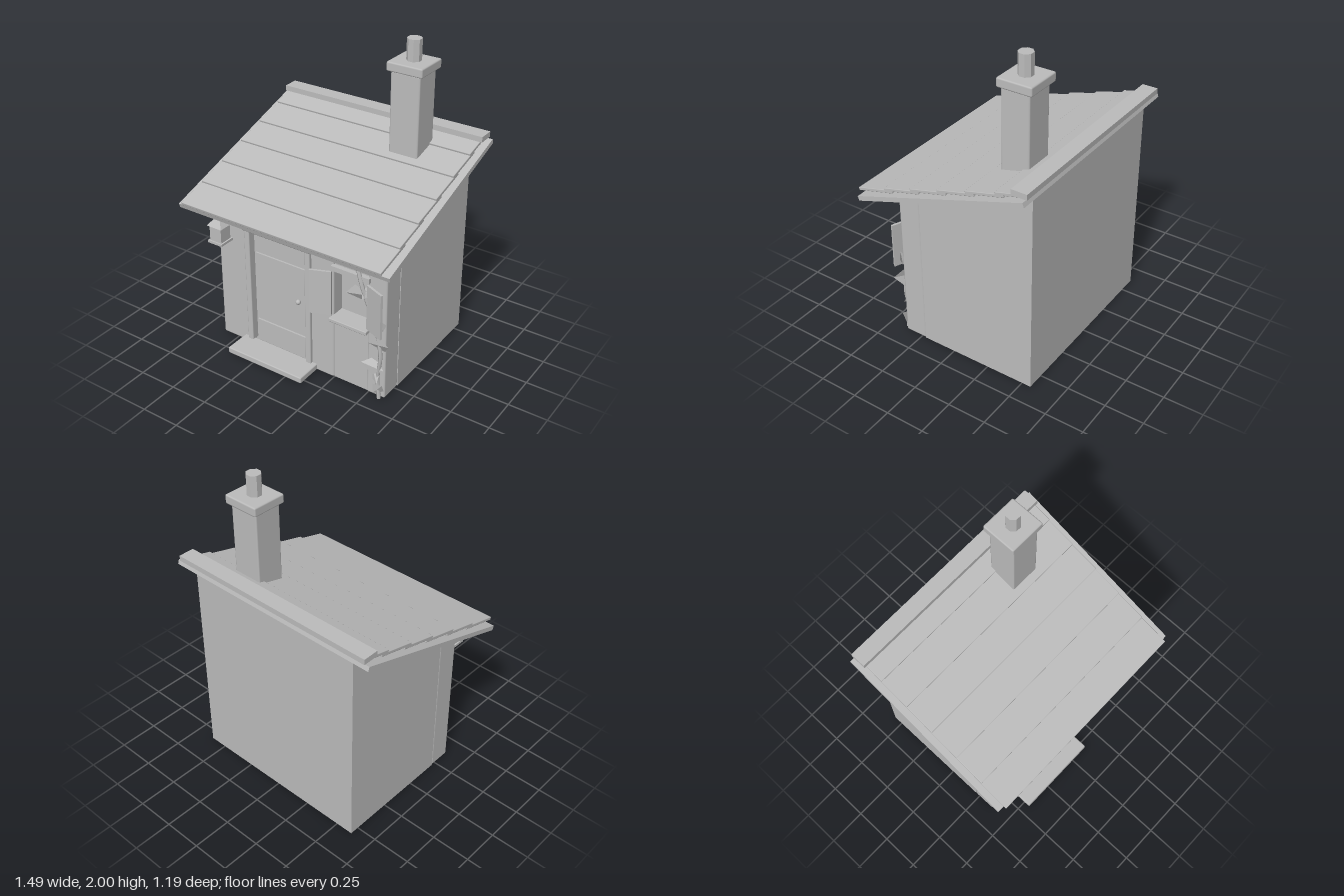
import * as THREE from 'three';
import { RoundedBoxGeometry } from 'three/addons/geometries/RoundedBoxGeometry.js';

const stone = new THREE.MeshStandardMaterial({ color: 0xbcbcbc });
stone.name = 'plain grey';
const leafGrey = stone.clone();
leafGrey.name = 'plain grey leaf';
leafGrey.side = THREE.DoubleSide;

export function createModel() {
  const model = new THREE.Group();

  const add = (name, geometry, x = 0, y = 0, z = 0, material = stone) => {
    const mesh = new THREE.Mesh(geometry, material);
    mesh.name = name;
    mesh.position.set(x, y, z);
    model.add(mesh);
    return mesh;
  };
  // Box given by its limits on each axis, with an optional softened edge
  const block = (name, x0, x1, y0, y1, z0, z1, r = 0) => {
    const s = [x1 - x0, y1 - y0, z1 - z0];
    const g = r ? new RoundedBoxGeometry(...s, 1, r) : new THREE.BoxGeometry(...s);
    return add(name, g, (x0 + x1) / 2, (y0 + y1) / 2, (z0 + z1) / 2);
  };

  // Hollow body: two sloping side walls and a back wall, open underneath
  const side = new THREE.Shape([[-0.22, 0], [0.56, 0], [0.56, 1.345], [-0.22, 1.04]]
    .map(([a, b]) => new THREE.Vector2(a, b)));
  const sideGeometry = new THREE.ExtrudeGeometry(side, { depth: 0.08, bevelEnabled: false });
  sideGeometry.rotateY(Math.PI / 2);
  add('leftWall', sideGeometry, 0.535);
  add('rightWall', sideGeometry, -0.615);
  block('backWall', -0.535, 0.535, 0, 1.345, -0.56, -0.48);

  // Front wall, made of panels around the door and the window
  block('frontPanelRight', -0.615, -0.385, 0, 1.03, 0.22, 0.37, 0.01);
  block('frontPanelMiddle', 0.055, 0.25, 0, 1.03, 0.22, 0.37, 0.01);
  block('frontPanelLeft', 0.49, 0.615, 0, 1.03, 0.22, 0.37, 0.01);
  block('panelAboveDoor', -0.385, 0.055, 0.84, 1.03, 0.22, 0.36);
  block('panelBelowWindow', 0.25, 0.49, 0, 0.45, 0.22, 0.36);
  block('panelAboveWindow', 0.25, 0.49, 0.79, 1.03, 0.22, 0.36);

  // Door
  block('door', -0.385, 0.055, 0.02, 0.85, 0.29, 0.34);
  for (const y of [0.175, 0.667]) block('doorBatten', -0.345, 0.025, y - 0.016, y + 0.016, 0.34, 0.352);
  add('doorKnob', new THREE.SphereGeometry(0.017, 10, 8), -0.023, 0.44, 0.355);
  for (const x of [-0.38, 0.07]) block('doorJamb', x - 0.02, x + 0.02, 0.04, 0.85, 0.29, 0.39, 0.006);
  block('doorLintel', -0.415, 0.1, 0.84, 0.91, 0.29, 0.4, 0.01);
  block('doorstep', -0.44, 0.125, 0.003, 0.045, 0.36, 0.545, 0.008);

  // Window with sill, lintel and half-open shutters
  block('windowPane', 0.25, 0.49, 0.44, 0.8, 0.27, 0.285);
  block('windowSill', 0.24, 0.505, 0.437, 0.462, 0.27, 0.415, 0.005);
  block('windowLintel', 0.24, 0.505, 0.78, 0.812, 0.27, 0.39);
  for (const s of [-1, 1]) {
    const shutter = add('shutter', new THREE.BoxGeometry(0.135, 0.3, 0.015), 0.37 + s * 0.188, 0.62, 0.411);
    shutter.rotation.y = -s * 0.38;
  }

  // Roof deck
  const pitch = Math.atan(0.3276);
  add('roofDeck', new THREE.BoxGeometry(1.49, 0.03, 1.21), 0, 1.172, -0.01).rotation.x = pitch;

  // Overlapping roof planks, each tilted flatter than the deck
  const tilt = 0.255;
  for (let i = 0; i < 6; i++) {
    const length = i === 5 ? 0.215 : 0.26;
    const g = new RoundedBoxGeometry(1.41, 0.02, length, 1, 0.004);
    g.translate(0, 0, -length / 2);
    add('roofPlank', g, 0, 1.02 + 0.0635 * i, 0.592 - 0.1935 * i).rotation.x = tilt;
  }
  block('ridgeBoard', -0.72, 0.72, 1.38, 1.415, -0.592, -0.49);

  // Chimney
  block('chimneyStack', 0.235, 0.432, 1.2, 1.81, -0.415, -0.23, 0.01);
  block('chimneyCap', 0.213, 0.453, 1.808, 1.867, -0.44, -0.212, 0.01);
  const pot = new THREE.CylinderGeometry(0.046, 0.046, 0.14, 8).toNonIndexed();
  pot.rotateY(Math.PI / 8);
  pot.computeVertexNormals();
  add('chimneyPot', pot, 0.333, 1.93, -0.325);

  // Lantern hanging beside the door
  block('lanternArm', -0.505, -0.48, 0.937, 0.957, 0.37, 0.5);
  block('lanternBody', -0.537, -0.451, 0.8, 0.905, 0.455, 0.54);
  block('lanternBase', -0.547, -0.441, 0.784, 0.8, 0.445, 0.55);
  const hood = new THREE.ConeGeometry(0.077, 0.07, 4).toNonIndexed();
  hood.rotateY(Math.PI / 4);
  hood.computeVertexNormals();
  add('lanternHood', hood, -0.494, 0.935, 0.497);

  // Climbing vine
  const stem = new THREE.CatmullRomCurve3([
    [0.585, 0, 0.385], [0.57, 0.14, 0.38], [0.59, 0.3, 0.385], [0.56, 0.46, 0.38],
    [0.505, 0.62, 0.385], [0.46, 0.76, 0.395], [0.42, 0.88, 0.385],
  ].map(p => new THREE.Vector3(...p)));
  add('vineStem', new THREE.TubeGeometry(stem, 18, 0.013, 5), 0, 0, 0, leafGrey);

  // Folded leaf: base, two sides and a tip around a raised rib
  const leaf = new THREE.BufferGeometry();
  leaf.setAttribute('position', new THREE.Float32BufferAttribute([
    -0.5, 0, 0, 0.05, -0.36, -0.1, 0.5, 0, 0,
    -0.5, 0, 0, 0.5, 0, 0, -0.05, 0.38, -0.14,
  ], 3));
  leaf.computeVertexNormals();
  const leaves = [
    // x, y, size, turn
    [0.365, 0.9, 0.14, -0.15], [0.43, 0.69, 0.15, 0.1], [0.49, 0.72, 0.1, 1.2],
    [0.58, 0.39, 0.17, 0.35], [0.54, 0.22, 0.15, -0.1], [0.58, 0.07, 0.11, 0.9],
    [0.56, 0.15, 0.08, 2.1], [0.595, 0.53, 0.09, 1.7],
  ];
  leaves.forEach(([x, y, size, turn], i) => {
    const mesh = add('vineLeaf', leaf, x, y, 0.395, leafGrey);
    mesh.scale.setScalar(size);
    mesh.rotation.set(i % 2 ? 0.25 : -0.25, i % 3 ? 0.15 : -0.15, turn);
  });

  return model;
}
